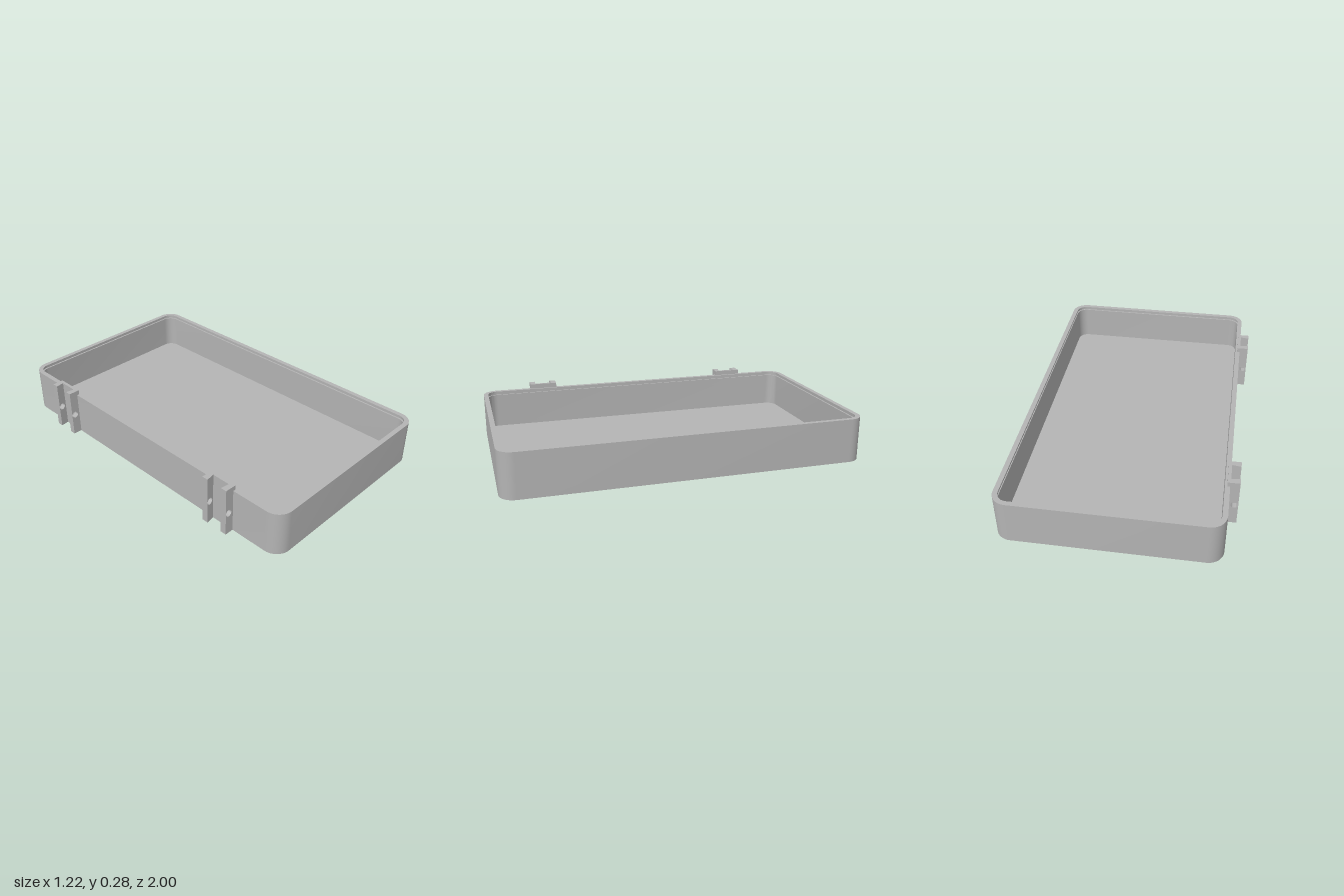
import * as THREE from 'three';
import { toCreasedNormals } from 'three/addons/utils/BufferGeometryUtils.js';

const HEIGHT = 0.25, WALL = 0.027, CENTRE_X = 0.0225;
const HALF_W = 0.5825, HALF_L = 1, RADIUS = 0.085;

// One rounded-rectangle loop, moved inward by inset (null collapses to the centre)
function loop(inset, y) {
  const pts = [], steps = 10;
  const corners = [[1, 1], [-1, 1], [-1, -1], [1, -1]];
  corners.forEach(([sx, sz], q) => {
    for (let k = 0; k <= steps; k++) {
      const a = (q + k / steps) * Math.PI / 2;
      pts.push(inset === null ? [CENTRE_X, y, 0] : [
        CENTRE_X + sx * (HALF_W - RADIUS) + Math.cos(a) * (RADIUS - inset), y,
        sz * (HALF_L - RADIUS) + Math.sin(a) * (RADIUS - inset)]);
    }
  });
  return pts;
}

// Skin the loops in order: underside, outer wall, rim, inner groove, floor
function trayGeometry() {
  const loops = [
    [null, 0], [0, 0], [0, HEIGHT], [WALL, HEIGHT], [WALL, 0.239],
    [WALL - 0.009, 0.239], [WALL - 0.009, 0.228], [WALL, 0.228],
    [WALL, 0.027], [null, 0.027],
  ].map(([inset, y]) => loop(inset, y));
  const pos = [];
  for (let j = 0; j < loops.length - 1; j++) {
    const A = loops[j], B = loops[j + 1], n = A.length;
    for (let i = 0; i < n; i++) {
      const k = (i + 1) % n;
      if (j > 0) pos.push(...A[i], ...B[i], ...A[k]);
      if (j < loops.length - 2) pos.push(...A[k], ...B[i], ...B[k]);
    }
  }
  const g = new THREE.BufferGeometry();
  g.setAttribute('position', new THREE.Float32BufferAttribute(pos, 3));
  return toCreasedNormals(g, 0.6);
}

// Upright hinge arm with a pin hole; its inner face (side = +1 or -1) leans to a thicker lip
function armGeometry(side) {
  const x0 = -0.61, x1 = -0.545, top = 0.277, thick = 0.026;
  const s = new THREE.Shape();
  s.moveTo(x0, 0).lineTo(x1, 0).lineTo(x1, top).lineTo(x0, top).closePath();
  s.holes.push(new THREE.Path().absarc(-0.59, 0.127, 0.02, 0, Math.PI * 2, true));
  const g = new THREE.ExtrudeGeometry(s, { depth: thick, bevelEnabled: false, curveSegments: 16 });
  if (side < 0) g.translate(0, 0, -thick);
  const p = g.attributes.position;
  for (let i = 0; i < p.count; i++) {
    if (Math.abs(p.getZ(i)) > thick / 2) {
      p.setZ(i, p.getZ(i) + side * 0.01 * (x1 - p.getX(i)) / (x1 - x0));
    }
  }
  return toCreasedNormals(g, 0.6);
}

export function createModel() {
  const model = new THREE.Group();
  model.name = 'tray';
  const grey = new THREE.MeshStandardMaterial({ color: 0xb4b4b4 });
  grey.name = 'grey';
  const add = (parent, name, geometry) => {
    const mesh = new THREE.Mesh(geometry, grey);
    mesh.name = name;
    parent.add(mesh);
    return mesh;
  };

  add(model, 'trayBody', trayGeometry());

  // Two hinge brackets on the right side, each a channel open to the outside
  const half = 0.081;
  for (const [name, z] of [['frontHinge', 0.624], ['backHinge', -0.629]]) {
    const hinge = new THREE.Group();
    hinge.name = name;
    hinge.position.z = z;
    add(hinge, 'hingeArmBack', armGeometry(1)).position.z = -half;
    add(hinge, 'hingeArmFront', armGeometry(-1)).position.z = half;
    add(hinge, 'hingeWeb', new THREE.BoxGeometry(0.017, 0.277, 2 * half - 0.04))
      .position.set(-0.5535, 0.1385, 0);
    model.add(hinge);
  }
  return model;
}
